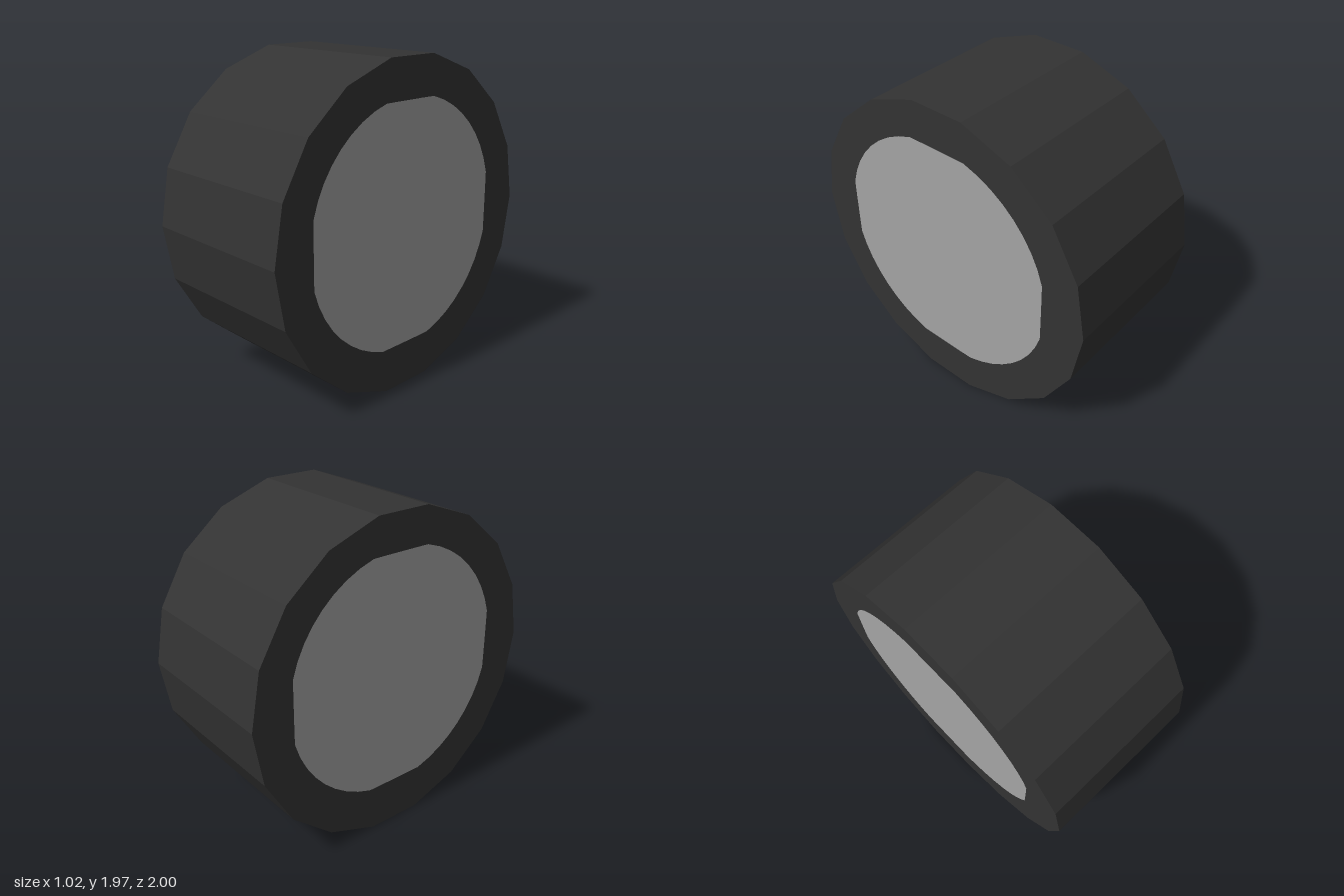
import * as THREE from 'three';

const RADIUS = 1, SIDES = 18, HALF_WIDTH = 0.512;
const AXIS_Y = RADIUS * Math.cos(Math.PI / SIDES); // the wheel rests on a flat facet

// Round outline with slightly flattened top, bottom and sides
function hubPoints(cx, cy) {
  const pts = [];
  for (let i = 0; i < 48; i++) {
    const a = (i / 48) * Math.PI * 2;
    const x = THREE.MathUtils.clamp(0.755 * Math.cos(a), -0.73, 0.73);
    const y = THREE.MathUtils.clamp(0.755 * Math.sin(a), -0.73, 0.73);
    pts.push(new THREE.Vector2(x + cx, y + cy));
  }
  return pts;
}

export function createModel() {
  const rubber = new THREE.MeshStandardMaterial({ color: 0x333333, flatShading: true });
  rubber.name = 'dark rubber';
  const metal = new THREE.MeshStandardMaterial({ color: 0xa4a4a4 });
  metal.name = 'grey metal';

  const wheel = new THREE.Group();
  wheel.name = 'wheel';
  const add = (name, geometry, material) => {
    const mesh = new THREE.Mesh(geometry, material);
    mesh.name = name;
    mesh.position.y = AXIS_Y;
    wheel.add(mesh);
    return mesh;
  };

  // Faceted tread, axle along x, with a corner pointing to +z and -z
  const tread = new THREE.CylinderGeometry(RADIUS, RADIUS, HALF_WIDTH * 2, SIDES, 1, true);
  tread.rotateZ(Math.PI / 2);
  add('tread', tread, rubber);

  // Sidewall ring and flush hub disc on each side
  for (const side of [1, -1]) {
    const label = side > 0 ? 'left' : 'right';
    const hub = hubPoints(-0.01, side > 0 ? 0.015 : 0.03);
    const outline = [];
    for (let i = 0; i < SIDES; i++) {
      const a = (i / SIDES) * Math.PI * 2;
      outline.push(new THREE.Vector2(RADIUS * Math.cos(a), RADIUS * Math.sin(a)));
    }
    const ring = new THREE.Shape(outline);
    ring.holes.push(new THREE.Path(hub));
    const parts = [
      add(label + 'Sidewall', new THREE.ShapeGeometry(ring), rubber),
      add(label + 'Hub', new THREE.ShapeGeometry(new THREE.Shape(hub)), metal),
    ];
    for (const part of parts) {
      part.rotation.y = side * Math.PI / 2;
      part.position.x = side * HALF_WIDTH;
    }
  }
  return wheel;
}
